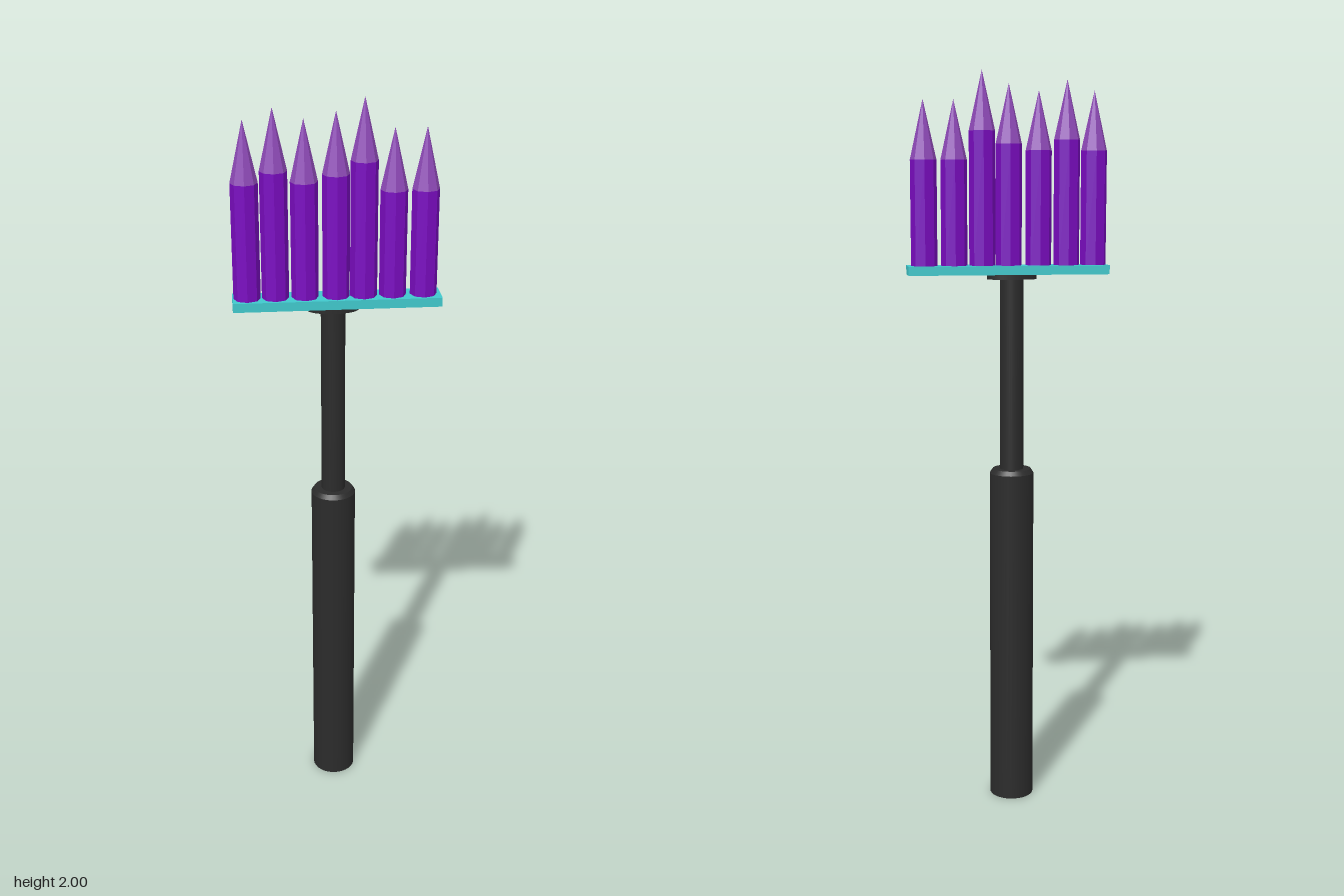
import * as THREE from 'three';

const material = (color, flatShading = false) => {
  const m = new THREE.MeshStandardMaterial({ flatShading });
  m.color.set(color);
  return m;
};

export function createModel() {
  const model = new THREE.Group();
  const black = material(0x2b2b2b);
  const teal = material(0x40c8cc);
  const purple = material(0x7a0cc0, true);
  const lightPurple = material(0x8f4ab8, true);
  const axisX = -0.01;

  const add = (name, geometry, mat, x, y, parent = model) => {
    const mesh = new THREE.Mesh(geometry, mat);
    mesh.name = name;
    mesh.position.set(x, y, 0);
    parent.add(mesh);
    return mesh;
  };

  // Grip, with a small chamfer at its upper rim
  add('grip', new THREE.CylinderGeometry(0.06, 0.06, 0.93, 32), black, axisX, 0.465);
  add('gripChamfer', new THREE.CylinderGeometry(0.052, 0.06, 0.012, 32), black, axisX, 0.936);

  // Thin shaft and the oval collar under the plate
  add('shaft', new THREE.CylinderGeometry(0.032, 0.032, 0.54, 32), black, axisX, 1.2);
  const collar = add('collar', new THREE.CylinderGeometry(0.067, 0.067, 0.016, 32), black, axisX, 1.466);
  collar.scale.z = 0.53;

  // Plate carrying the row of spikes
  add('plate', new THREE.BoxGeometry(0.538, 0.024, 0.08), teal, 0, 1.483);

  // Eight-sided spikes: [x, tip height]
  const baseY = 1.49, coneHeight = 0.155, radius = 0.035;
  const spikes = [
    [-0.231, 1.95], [-0.158, 1.978], [-0.082, 1.95], [-0.002, 1.967],
    [0.069, 2.0], [0.144, 1.925], [0.224, 1.925],
  ];
  for (const [x, tipY] of spikes) {
    const spike = new THREE.Group();
    spike.name = 'spike';
    const shoulderY = tipY - coneHeight;
    const height = shoulderY - baseY;
    add('spikeBody', new THREE.CylinderGeometry(radius, radius, height, 8), purple, x, baseY + height / 2, spike);
    add('spikeTip', new THREE.ConeGeometry(radius, coneHeight, 8), lightPurple, x, shoulderY + coneHeight / 2, spike);
    model.add(spike);
  }
  return model;
}
